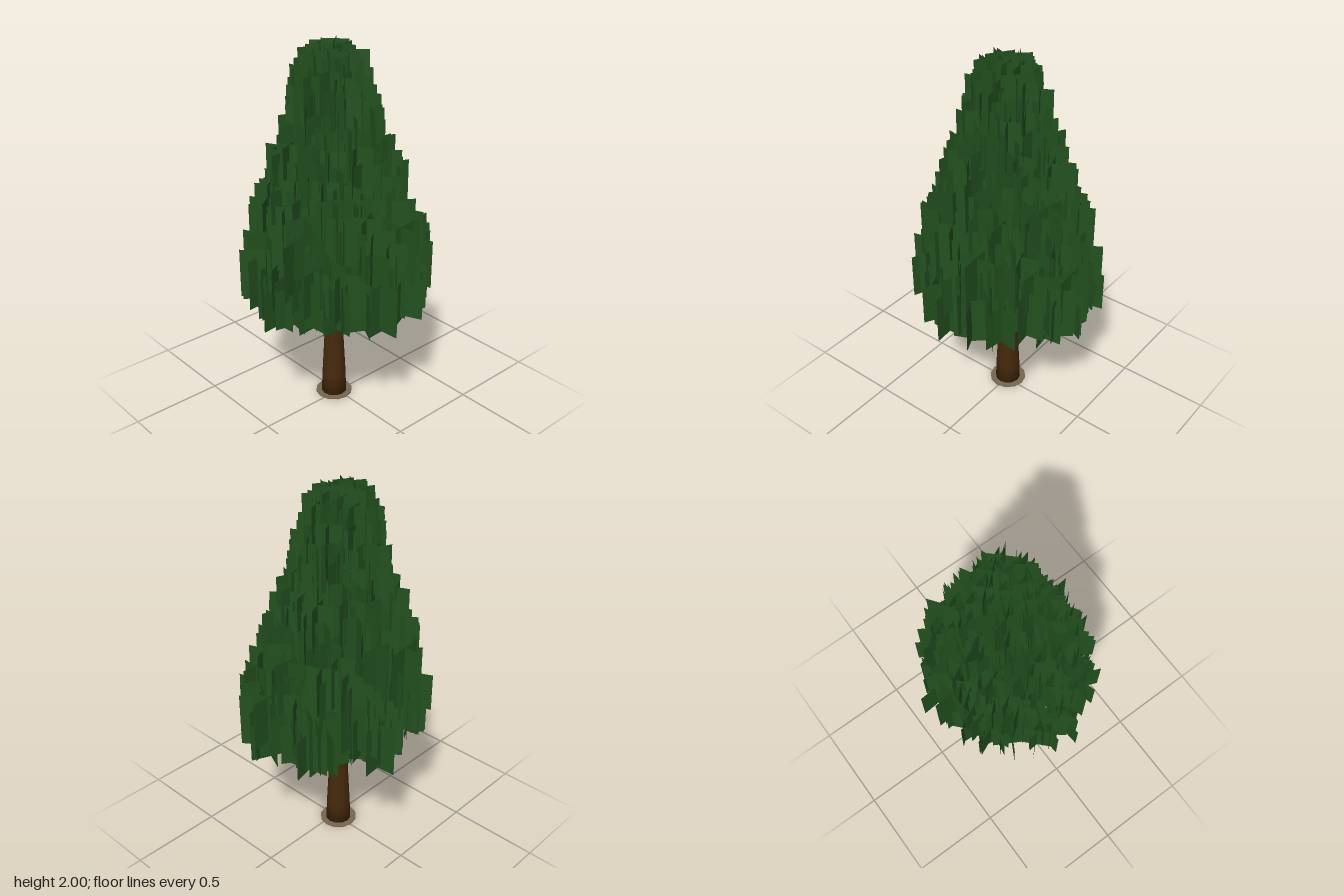
import * as THREE from 'three';
import { mergeGeometries } from 'three/addons/utils/BufferGeometryUtils.js';

const material = (name, color, side = THREE.FrontSide) => {
  const m = new THREE.MeshStandardMaterial({ color, side });
  m.name = name;
  return m;
};

// Small seeded random generator
function seeded(seed) {
  return () => {
    seed = (seed * 1664525 + 1013904223) % 4294967296;
    return seed / 4294967296;
  };
}

// Crown radius at the height of a leaf card's top edge
const ENVELOPE = [[0.84, 0.54], [1.0, 0.54], [1.12, 0.48], [1.23, 0.45], [1.35, 0.4], [1.47, 0.36],
  [1.6, 0.3], [1.73, 0.265], [1.84, 0.23], [1.97, 0.185], [2.0, 0.12]];
function crownRadius(y) {
  for (let i = 1; i < ENVELOPE.length; i++) {
    const [y0, r0] = ENVELOPE[i - 1], [y1, r1] = ENVELOPE[i];
    if (y <= y1) return r0 + (r1 - r0) * (y - y0) / (y1 - y0);
  }
  return 0.12;
}

// Two upright cards crossed at a right angle
function crossedCards(x, z, bottom, top, halfWidth, turn) {
  return [0, Math.PI / 2].map((a) =>
    new THREE.PlaneGeometry(halfWidth * 2, top - bottom)
      .rotateY(turn + a)
      .translate(x, (top + bottom) / 2, z));
}

export function createModel() {
  const tree = new THREE.Group();
  tree.name = 'tree';
  const bark = material('bark brown', 0x46290c);
  const earth = material('earth taupe', 0x75664f);
  const leaf = material('leaf green', 0x22501f, THREE.DoubleSide);
  const cx = -0.025, cz = 0.008;

  // Ground disc
  const disc = new THREE.Mesh(new THREE.CylinderGeometry(0.102, 0.102, 0.005, 12), earth);
  disc.name = 'groundDisc';
  disc.position.set(cx, 0.0025, cz);
  tree.add(disc);

  // Tapered trunk running up through the crown
  const profile = [[0, 0], [0.07, 0], [0.066, 0.12], [0.055, 0.33], [0.045, 0.6], [0.036, 1.0],
    [0.026, 1.45], [0.017, 1.85], [0, 1.85]].map(([r, y]) => new THREE.Vector2(r, y));
  const trunk = new THREE.Mesh(new THREE.LatheGeometry(profile, 12), bark);
  trunk.name = 'trunk';
  trunk.position.set(cx, 0.005, cz);
  tree.add(trunk);

  // Crown: spiral of crossed leaf cards, mostly on the outside
  const rand = seeded(41);
  const cards = [];
  const count = 330;
  for (let i = 0; i < count; i++) {
    const u = (i + 0.5) / count;
    const top = 0.84 + 1.16 * Math.pow(u, 1.25);
    const halfWidth = (0.12 - 0.05 * u) * (0.75 + 0.3 * rand());
    const bottom = Math.max(0.6 + 0.04 * rand(), top - 0.21 - 0.1 * rand());
    const depth = i % 3 ? 0.82 + 0.18 * rand() : 0.25 + 0.55 * rand();
    const reach = Math.max(0, crownRadius(top) - 0.92 * halfWidth) * depth;
    const angle = i * 2.39996;
    cards.push(...crossedCards(
      -0.03 * u + reach * Math.cos(angle) * 0.93,
      0.02 * u + reach * Math.sin(angle),
      bottom, top, halfWidth, rand() * Math.PI));
  }
  // Large outlying cards that set the crown's widest points: x, z, bottom, top
  for (const [x, z, b, t] of [[-0.4, 0.08, 0.87, 1.23], [-0.4, -0.1, 0.6, 0.87], [0.4, 0.06, 0.6, 0.87],
    [0.36, -0.1, 0.82, 1.12], [0.05, 0.44, 0.63, 0.84], [-0.08, 0.43, 0.7, 0.97],
    [0.04, -0.44, 0.73, 0.99], [0.15, 0.3, 0.6, 0.88], [-0.2, -0.3, 0.6, 0.86]]) {
    cards.push(...crossedCards(x, z, b, t, 0.1, 0.08));
  }
  const foliage = new THREE.Mesh(mergeGeometries(cards), leaf);
  foliage.name = 'foliage';
  tree.add(foliage);

  return tree;
}
